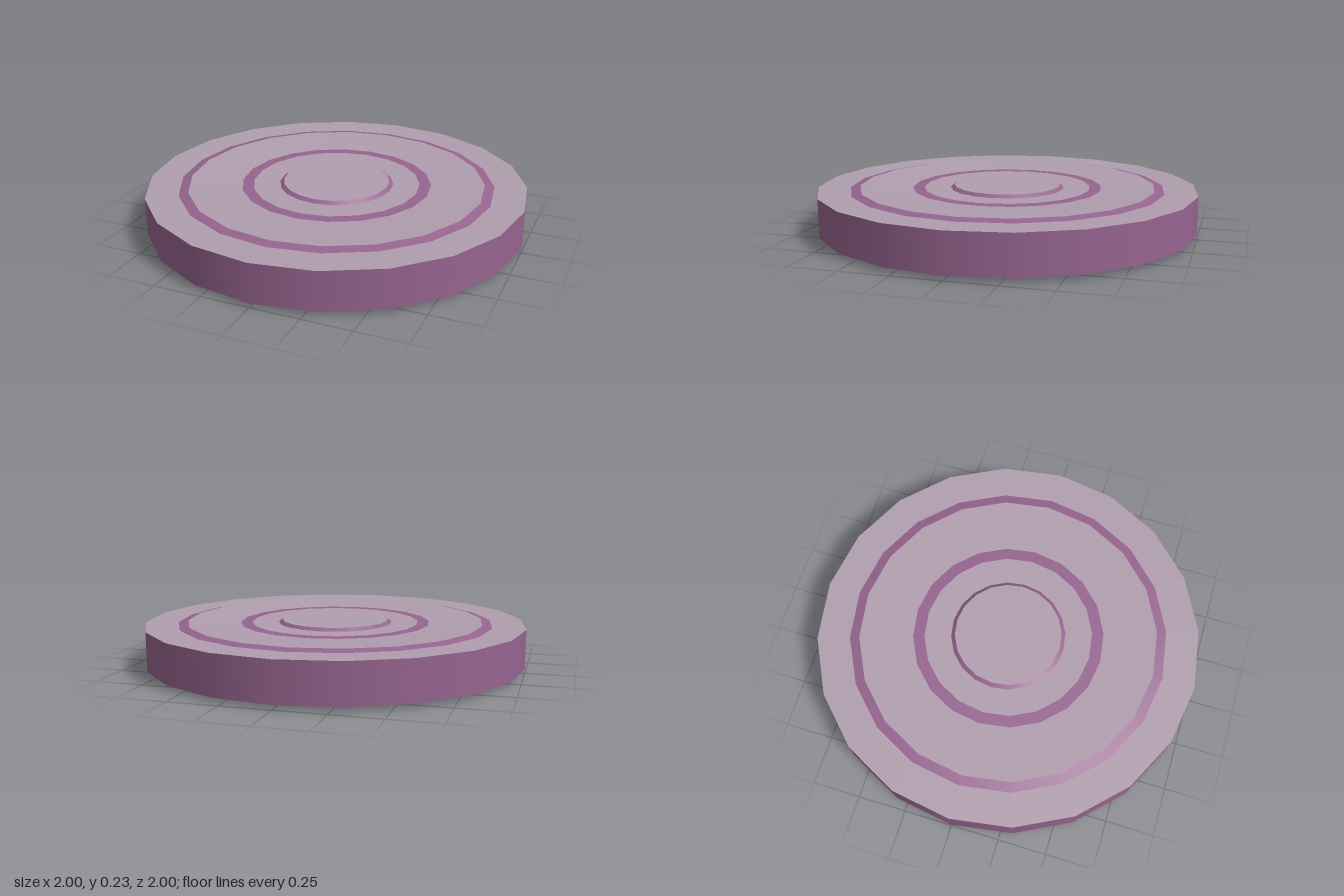
import * as THREE from 'three';

const SIDES = 20;

export function createModel() {
  const model = new THREE.Group();
  model.name = 'disc';
  const purple = new THREE.MeshStandardMaterial({ color: 0x96648f });
  const pale = new THREE.MeshStandardMaterial({ color: 0xb09eae });

  // One band of the disc, turned around y between two profile points [radius, height]
  function addBand(name, from, to, material) {
    const points = [from, to].map(([r, y]) => new THREE.Vector2(r, y));
    const mesh = new THREE.Mesh(new THREE.LatheGeometry(points, SIDES), material);
    mesh.name = name;
    model.add(mesh);
  }

  // Face profiles from the rim to the centre: pale surfaces alternate with purple rings
  const radii = [1, 0.83, 0.78, 0.5, 0.44, 0.3, 0.28, 0];
  const topHeights = [0.224, 0.222, 0.232, 0.222, 0.223, 0.22, 0.235, 0.235];
  const bottomHeights = [0.022, 0.022, 0, 0.022, 0.013, 0.022, 0.004, 0.004];
  const names = ['OuterFace', 'OuterRing', 'MiddleFace', 'MiddleRing', 'InnerFace', 'InnerRing', 'Centre'];

  names.forEach((name, i) => {
    const material = i % 2 ? purple : pale;
    addBand('top' + name, [radii[i], topHeights[i]], [radii[i + 1], topHeights[i + 1]], material);
    // The underside runs outwards so that it faces down
    addBand('bottom' + name, [radii[i + 1], bottomHeights[i + 1]], [radii[i], bottomHeights[i]], material);
  });

  // Upright edge of the disc
  addBand('rim', [1, bottomHeights[0]], [1, topHeights[0]], purple);
  return model;
}
